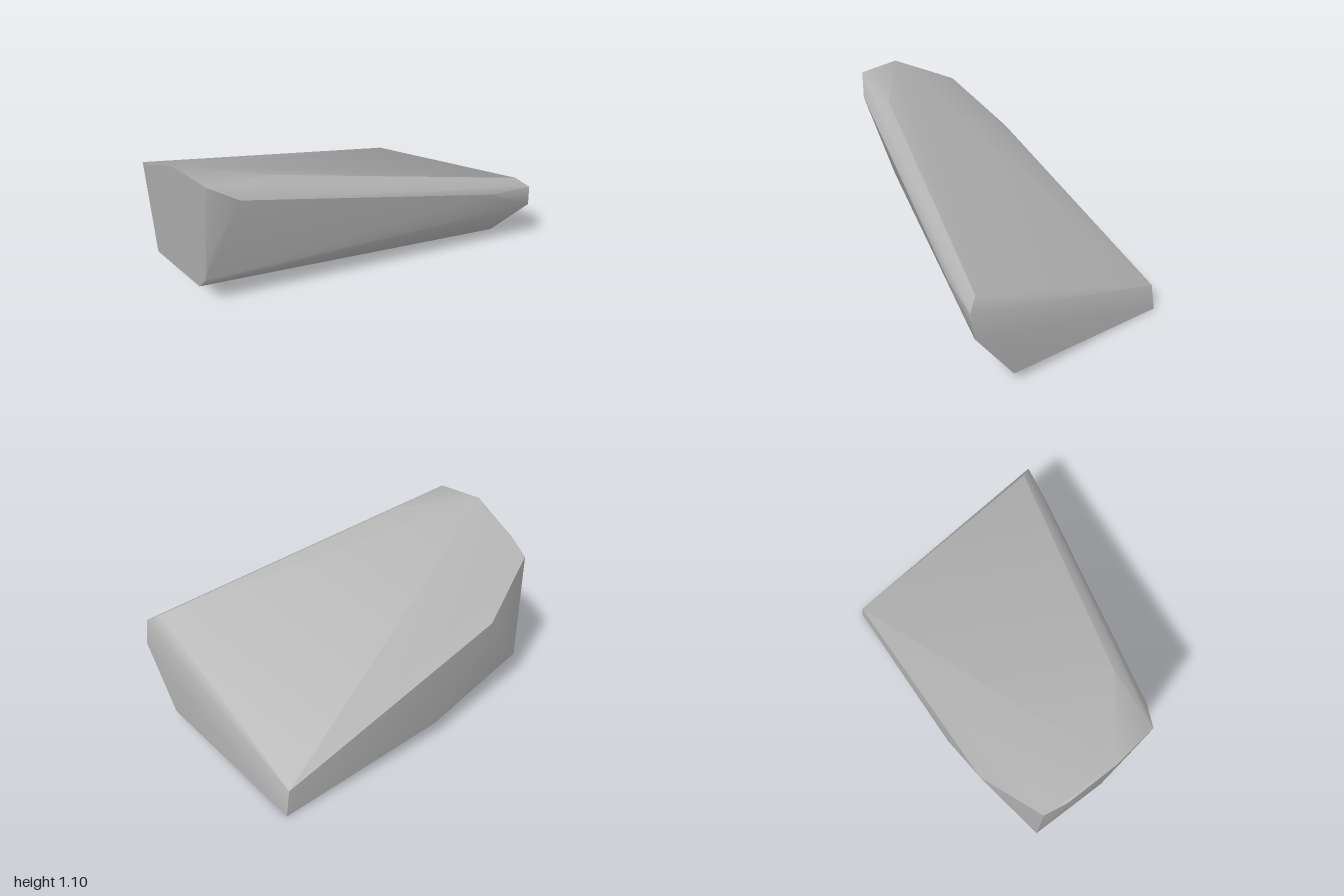
import * as THREE from 'three';
import { ConvexGeometry } from 'three/addons/geometries/ConvexGeometry.js';
import { toCreasedNormals } from 'three/addons/utils/BufferGeometryUtils.js';

// Wedge-shaped stone slab: the convex hull of its chipped corners
export function createModel() {
  const stone = new THREE.MeshStandardMaterial({ color: 0xb0b0b0 });
  stone.name = 'stone grey';

  // Outline of the low end, from the front top round to the back top
  const lowEnd = [
    [0.92, 0.63, 0.62], [0.975, 0.58, 0.69], [1.0, 0.43, 0.68],
    [0.99, 0.065, 0.41], [0.95, 0, -0.69], [0.92, 0.16, -0.68],
  ];
  // Outline of the tall end, from the front top round to the front bottom
  const tallEnd = [
    [-0.95, 1.1, 0.18], [-1.0, 1.1, -0.1], [-1.0, 0.945, -0.4],
    [-0.975, 0.875, -0.54], [-0.95, 0.18, -0.56], [-0.93, 0.23, -0.07],
    [-0.915, 0.31, -0.01], [-0.91, 0.56, 0.07],
  ];
  // Chamfer along the front top edge
  const chamfer = [[-0.57, 1.04, 0.21], [-0.8, 1.0, 0.26], [0.7, 0.61, 0.64]];
  // Corners of the back face
  const back = [[-0.56, 0.635, -0.69], [-0.14, 0.1, -0.69]];

  const corners = [...lowEnd, ...tallEnd, ...chamfer, ...back]
    .map((p) => new THREE.Vector3(...p));

  // Shallow edges are smooth, steep ones stay sharp
  const slab = new THREE.Mesh(toCreasedNormals(new ConvexGeometry(corners), 0.6), stone);
  slab.name = 'stoneSlab';

  const group = new THREE.Group();
  group.name = 'stone';
  group.add(slab);
  return group;
}
